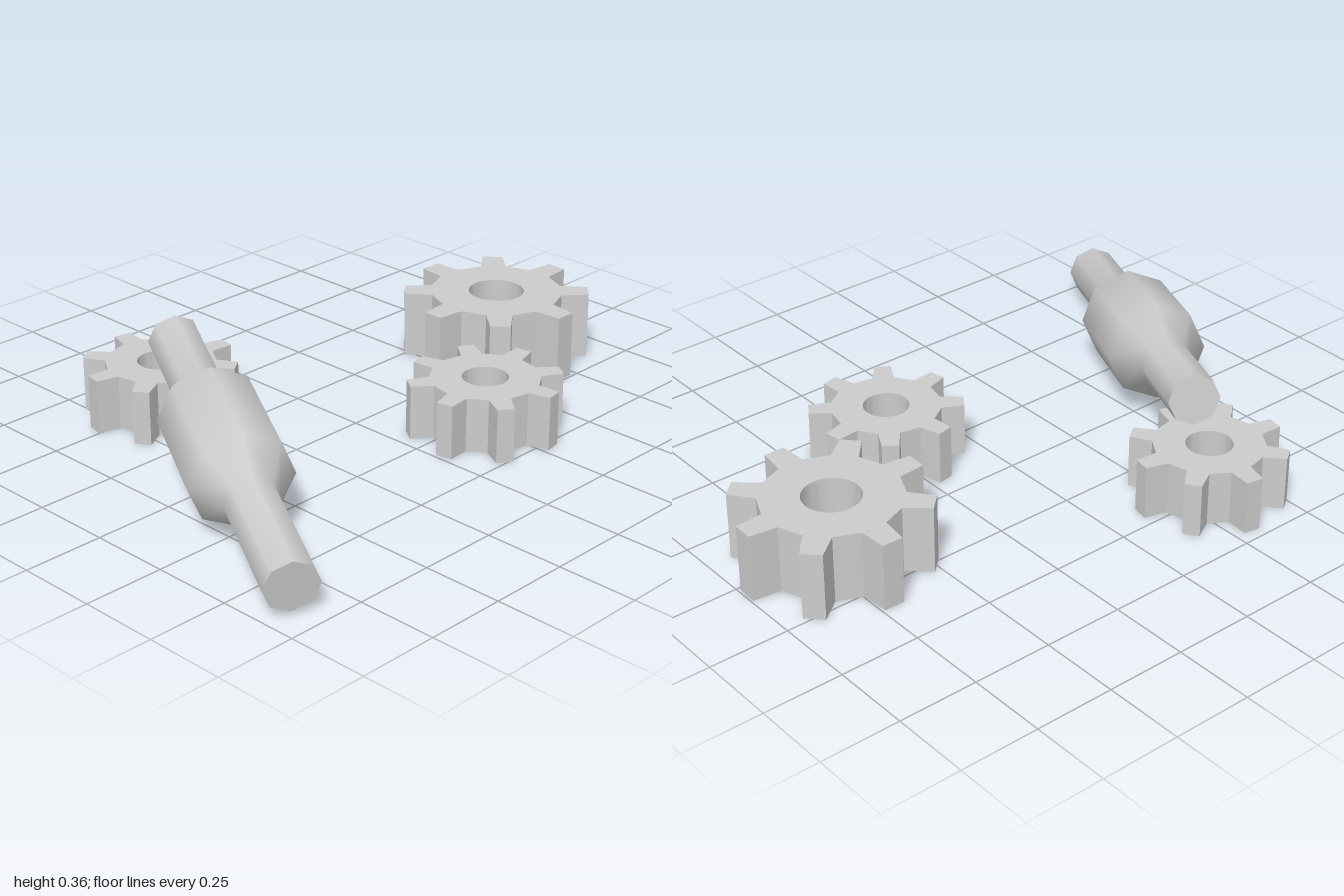
import * as THREE from 'three';
import { toCreasedNormals } from 'three/addons/utils/BufferGeometryUtils.js';

const TEETH = 8;

// Flat-lying spur gear with tapered teeth and a round bore
function gearGeometry(outer, root, bore, height) {
  const step = (Math.PI * 2) / TEETH;
  const baseHalf = step / 4;
  const tipHalf = 0.11;
  const points = [];
  const add = (r, a) => points.push(new THREE.Vector2(r * Math.cos(a), r * Math.sin(a)));
  for (let i = 0; i < TEETH; i++) {
    const a = i * step;
    add(root, a - baseHalf);
    add(outer, a - tipHalf);
    add(outer, a + tipHalf);
    add(root, a + baseHalf);
  }
  const shape = new THREE.Shape(points);
  shape.holes.push(new THREE.Path().absarc(0, 0, bore, 0, Math.PI * 2, true));
  const geo = new THREE.ExtrudeGeometry(shape, { depth: height, bevelEnabled: false, curveSegments: 32 });
  geo.rotateX(-Math.PI / 2);
  return toCreasedNormals(geo, 0.45);
}

// Eight-sided shaft with a swollen middle, tilted between two end points
function createShaft(low, high, material) {
  const group = new THREE.Group();
  group.name = 'shaft';
  const axis = high.clone().sub(low);
  const length = axis.length();
  axis.normalize();
  const side = axis.clone().cross(new THREE.Vector3(0, 1, 0)).normalize();
  const up = side.clone().cross(axis);
  group.quaternion.setFromRotationMatrix(new THREE.Matrix4().makeBasis(side, axis, up));
  group.position.copy(low);

  const neck = 0.08, bulge = 0.154;
  const profile = [[neck, 0], [neck, 0.303], [bulge, 0.387], [bulge, 0.664], [neck, 0.7475], [neck, 1]]
    .map(([r, t]) => new THREE.Vector2(r, t * length));
  const body = new THREE.Mesh(new THREE.LatheGeometry(profile, 8), material);
  body.name = 'shaftBody';
  group.add(body);

  // Flat end caps
  for (const [name, y, turn] of [['lowerCap', 0, 1], ['upperCap', length, -1]]) {
    const cap = new THREE.Mesh(new THREE.CircleGeometry(neck, 8), material);
    cap.name = name;
    cap.rotation.x = turn * Math.PI / 2;
    cap.position.y = y;
    group.add(cap);
  }
  return group;
}

export function createModel() {
  const model = new THREE.Group();
  model.name = 'gearsAndShaft';
  const grey = new THREE.MeshStandardMaterial({ color: 0xcccccc });
  grey.name = 'light grey';

  // Gears: name, x, z, size, turn in degrees
  const gears = [
    ['largeGear', 0.70, -0.052, 1, 1.6],
    ['rearSmallGear', -0.35, -0.483, 0.8, 10.5],
    ['frontSmallGear', 0.245, 0.30, 0.8, -11],
  ];
  for (const [name, x, z, s, turn] of gears) {
    const gear = new THREE.Mesh(gearGeometry(0.295 * s, 0.21 * s, 0.088 * s, 0.213 * s), grey);
    gear.name = name;
    gear.position.set(x, 0, z);
    gear.rotation.y = -THREE.MathUtils.degToRad(turn);
    model.add(gear);
  }

  model.add(createShaft(
    new THREE.Vector3(-0.927, 0.09, 0.677),
    new THREE.Vector3(-0.366, 0.273, -0.397),
    grey,
  ));
  return model;
}
